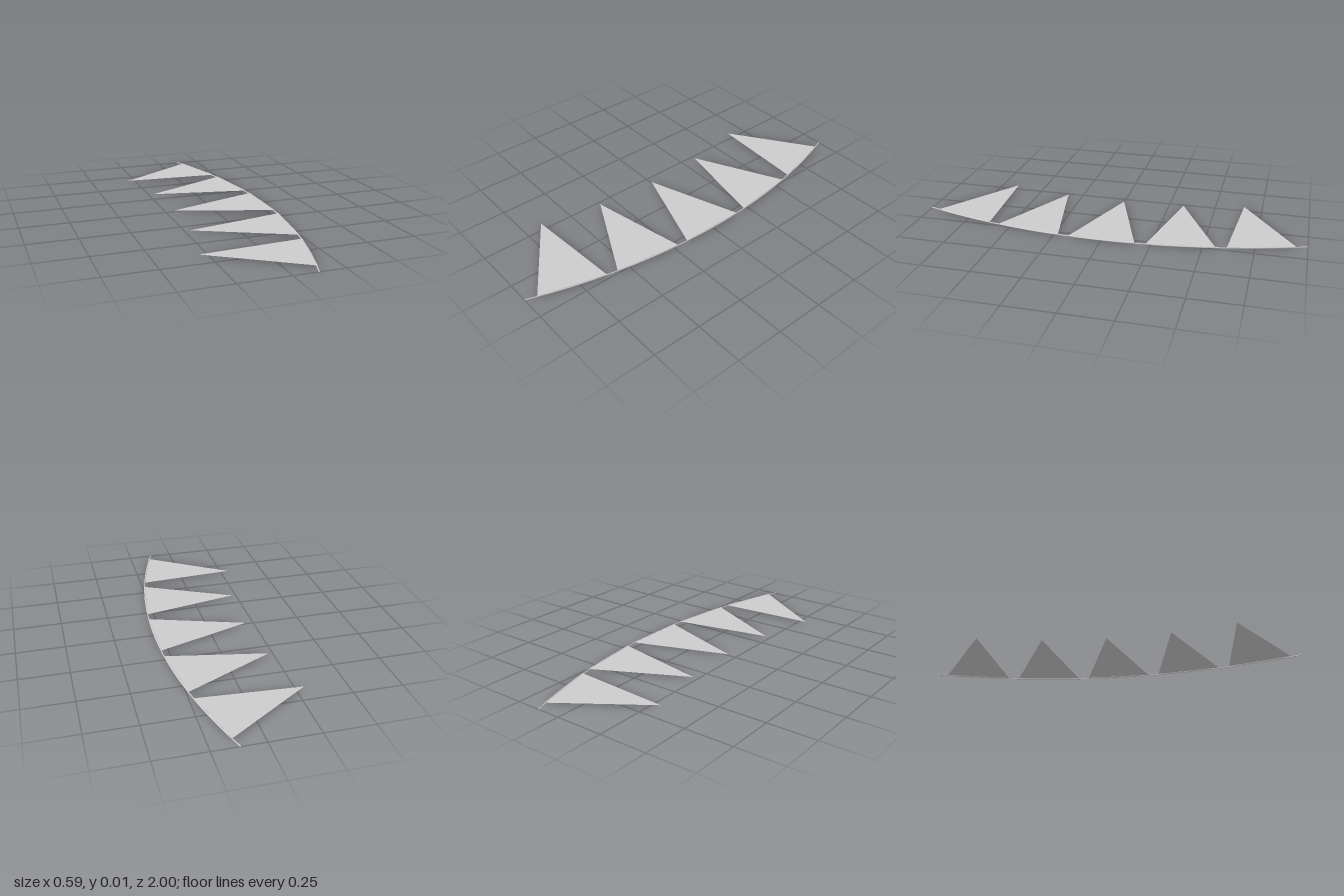
import * as THREE from 'three';

export function createModel() {
  const group = new THREE.Group();
  const mat = new THREE.MeshStandardMaterial({ color: 0xcccccc, side: THREE.DoubleSide });
  const R = 3, cx = -2.708, halfWidth = 0.17, chord = 2.996, tip = 2.502;

  // Cord: a shallow arc lying flat
  const end = Math.asin(1 / R);
  const points = [];
  for (let i = 0; i <= 24; i++) {
    const a = -end + (2 * end * i) / 24;
    points.push(new THREE.Vector3(cx + R * Math.cos(a), 0.003, R * Math.sin(a)));
  }
  const cord = new THREE.Mesh(
    new THREE.TubeGeometry(new THREE.CatmullRomCurve3(points), 60, 0.003, 8), mat);
  cord.name = 'cord';
  group.add(cord);

  // Pennants: flat triangles fanned about the centre of the arc, each with a thin hem
  const triangle = new THREE.Shape([
    new THREE.Vector2(chord, -halfWidth),
    new THREE.Vector2(chord, halfWidth),
    new THREE.Vector2(tip, 0),
  ]);
  const clothGeometry = new THREE.ShapeGeometry(triangle).rotateX(-Math.PI / 2);
  const hemGeometry = new THREE.CylinderGeometry(0.003, 0.003, 2 * halfWidth, 8).rotateX(Math.PI / 2);
  for (let i = -2; i <= 2; i++) {
    const pennant = new THREE.Group();
    pennant.name = 'pennant';
    const cloth = new THREE.Mesh(clothGeometry, mat);
    cloth.name = 'cloth';
    cloth.position.y = 0.006;
    const hem = new THREE.Mesh(hemGeometry, mat);
    hem.name = 'hem';
    hem.position.set(chord, 0.005, 0);
    pennant.add(cloth, hem);
    pennant.position.x = cx;
    pennant.rotation.y = -i * 0.132;
    group.add(pennant);
  }
  return group;
}
